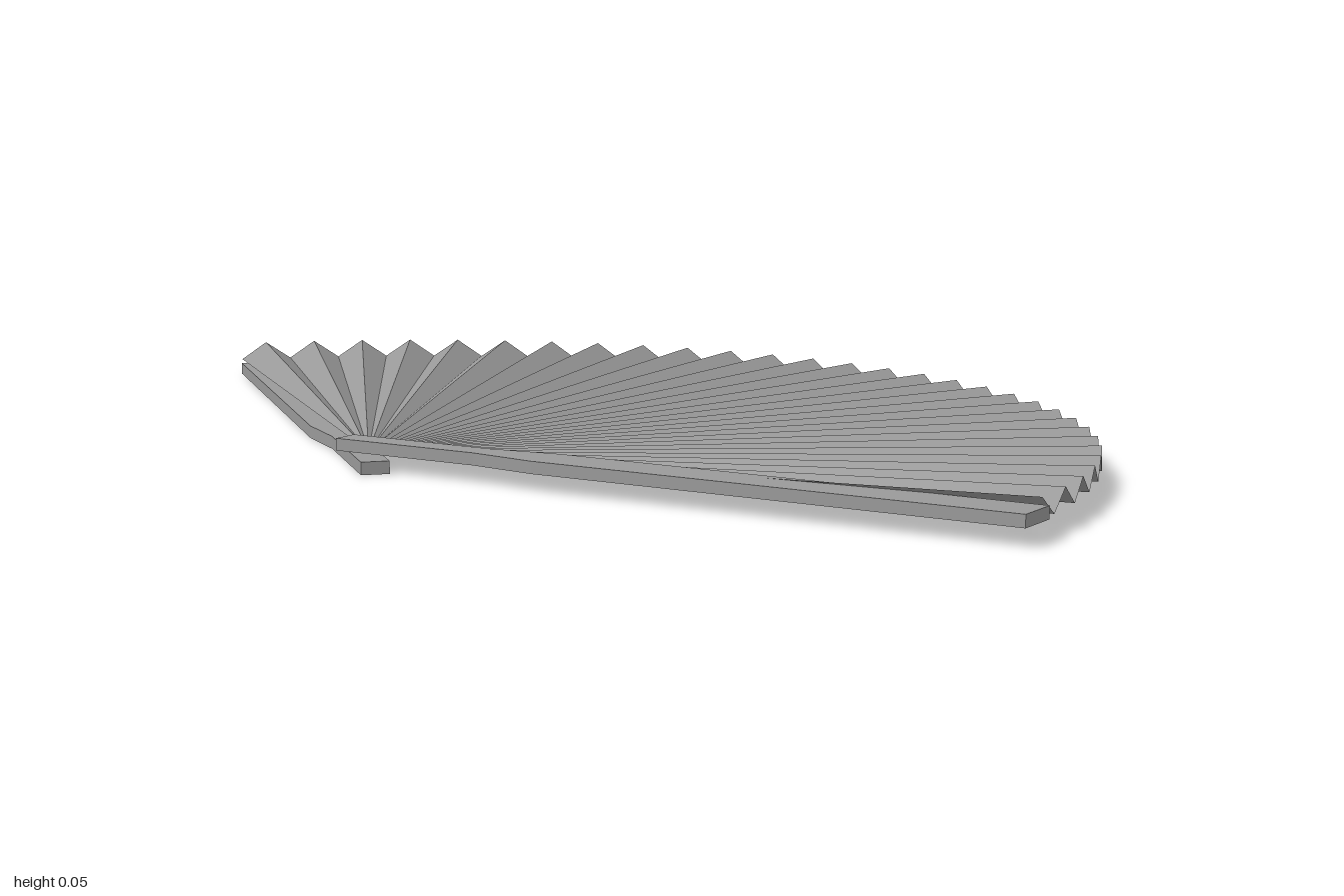
import * as THREE from 'three';

const PIVOT = [-0.015, 0.507];
const RADIUS = 1.053;
const deg = THREE.MathUtils.degToRad;

function material() {
  return new THREE.MeshStandardMaterial({ color: 0x999999, flatShading: true, side: THREE.DoubleSide });
}

// Flat outer stick: narrow at the pivot, widening to a straight blade
function guard(name, angle, y, height, slide) {
  const half = [[-0.043, 0.021], [0.2, 0.021], [0.31, 0.036], [1.061, 0.036]];
  const lower = half.map(([s, w]) => new THREE.Vector2(s + slide, -w));
  const upper = half.map(([s, w]) => new THREE.Vector2(s + slide, w)).reverse();
  const geometry = new THREE.ExtrudeGeometry(new THREE.Shape([...lower, ...upper]), {
    depth: height, bevelEnabled: false,
  });
  geometry.rotateX(-Math.PI / 2).rotateY(deg(angle));
  const mesh = new THREE.Mesh(geometry, material());
  mesh.name = name;
  mesh.position.set(PIVOT[0], y, PIVOT[1]);
  return mesh;
}

// Pleated sheet: folds run from the pivot, alternately high and low at the rim
function leaf(panels, start, end, low, high) {
  const rim = (i) => {
    const a = deg(start + ((end - start) * i) / panels);
    return [RADIUS * Math.cos(a), i % 2 ? low : high, -RADIUS * Math.sin(a)];
  };
  const positions = [];
  for (let i = 0; i < panels; i++) positions.push(0, low, 0, ...rim(i), ...rim(i + 1));
  const geometry = new THREE.BufferGeometry();
  geometry.setAttribute('position', new THREE.Float32BufferAttribute(positions, 3));
  geometry.computeVertexNormals();
  const mesh = new THREE.Mesh(geometry, material());
  mesh.name = 'pleatedLeaf';
  mesh.position.set(PIVOT[0], 0, PIVOT[1]);
  return mesh;
}

export function createModel() {
  const fan = new THREE.Group();
  fan.name = 'foldingFan';
  fan.add(
    leaf(59, 20.7, 158.7, 0.026, 0.055),
    guard('upperGuard', 19, 0.026, 0.018, 0),
    guard('lowerGuard', 180 - 23.2, 0, 0.019, -0.009),
  );
  return fan;
}
